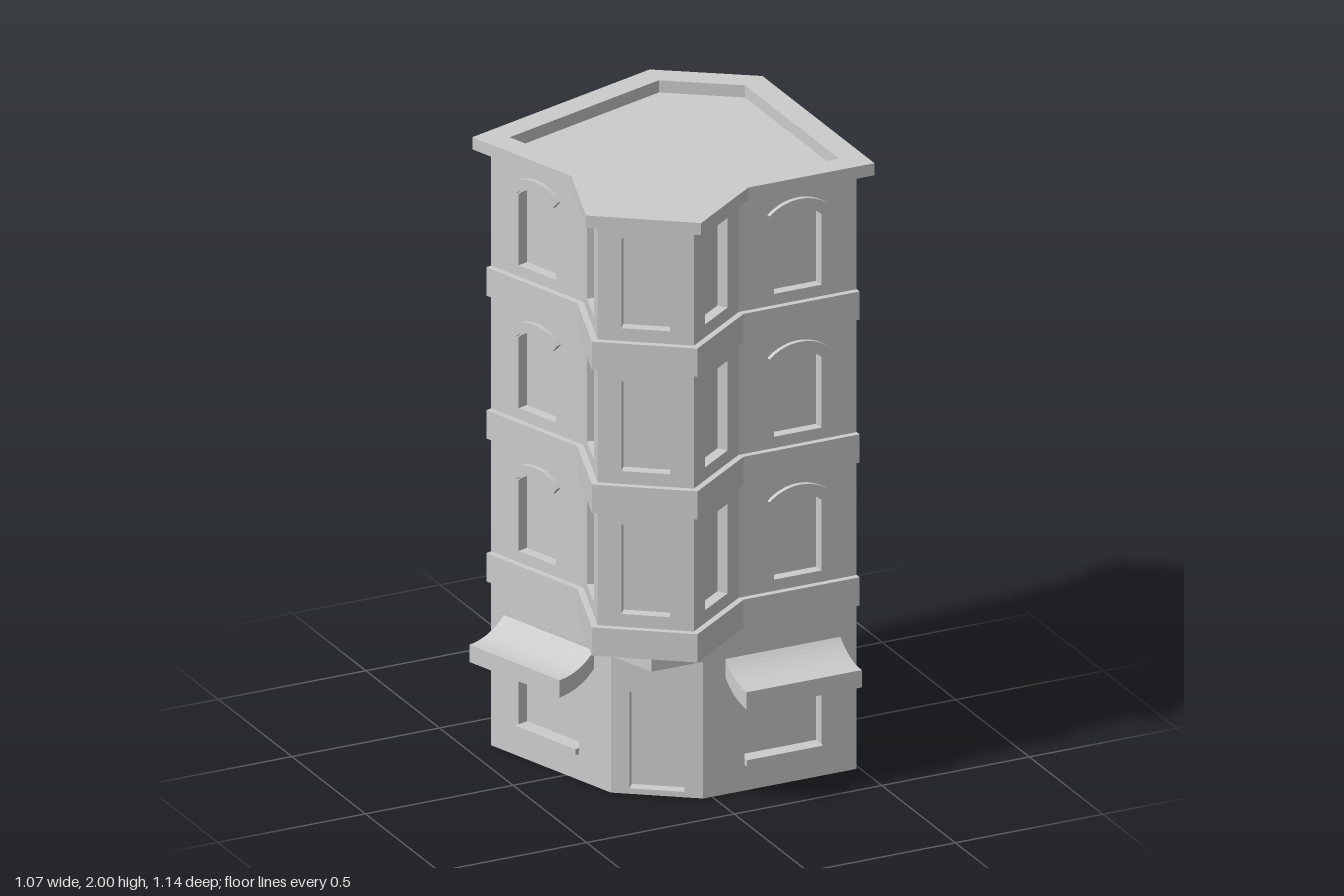
import * as THREE from 'three';

const material = new THREE.MeshStandardMaterial({ color: 0xcccccc, flatShading: true, side: THREE.DoubleSide });
const RECESS = 0.035, ROOF = 1.96;

// Plan corners as [x, z]; walls run left to right as seen from outside
const backLeft = [-0.42, -0.31], bayLeft = [-0.296, 0.07], bayFrontLeft = [-0.388, 0.351];
const bayFrontRight = [-0.149, 0.525], bayRight = [0.09, 0.35], frontRight = [0.49, 0.35];
const backRight = [0.49, -0.35], backEnd = [0.24, -0.525];
const corner = [-0.205, 0.35], doorLeft = [-0.26, 0.183], doorRight = [-0.03, 0.35];
const facade = [backLeft, bayLeft, bayFrontLeft, bayFrontRight, bayRight, frontRight];
const outline = [...facade, backRight, backEnd];

function mesh(geometry, name) {
  const m = new THREE.Mesh(geometry, material);
  m.name = name;
  return m;
}

// Offsets a plan line outwards with mitred corners
function offset(points, d, closed) {
  const n = points.length;
  const normal = (a, b) => {
    const l = Math.hypot(b[0] - a[0], b[1] - a[1]);
    return [-(b[1] - a[1]) / l, (b[0] - a[0]) / l];
  };
  return points.map((p, i) => {
    const prev = closed || i > 0 ? points[(i + n - 1) % n] : null;
    const next = closed || i < n - 1 ? points[(i + 1) % n] : null;
    const n1 = prev ? normal(prev, p) : normal(p, next);
    const n2 = next ? normal(p, next) : n1;
    const k = d / (1 + n1[0] * n2[0] + n1[1] * n2[1]);
    return [p[0] + (n1[0] + n2[0]) * k, p[1] + (n1[1] + n2[1]) * k];
  });
}

// Horizontal shapes drawn from plan points
const planPoints = (points) => points.map(([x, z]) => new THREE.Vector2(x, -z));

function slab(points, y, height, name, hole) {
  const shape = new THREE.Shape(planPoints(points));
  if (hole) shape.holes.push(new THREE.Path(planPoints(hole)));
  const geometry = height
    ? new THREE.ExtrudeGeometry(shape, { depth: height, bevelEnabled: false })
    : new THREE.ShapeGeometry(shape);
  return mesh(geometry.rotateX(-Math.PI / 2).translate(0, y, 0), name);
}

// Opening outlines in wall coordinates; a rise gives an arched head
function opening(u, y0, y1, width, rise = 0) {
  const h = width / 2;
  const points = [new THREE.Vector2(u - h, y0), new THREE.Vector2(u + h, y0)];
  if (!rise) return points.concat(new THREE.Vector2(u + h, y1), new THREE.Vector2(u - h, y1));
  const r = (h * h + rise * rise) / (2 * rise), a = Math.asin(h / r);
  for (let i = 0; i <= 10; i++) {
    const t = a - (2 * a * i) / 10;
    points.push(new THREE.Vector2(u + r * Math.sin(t), y1 - r + r * Math.cos(t)));
  }
  return points;
}

// Sides of a recess running back from the wall face
function reveal(points) {
  const pos = [];
  points.forEach((p, i) => {
    const q = points[(i + 1) % points.length];
    pos.push(p.x, p.y, 0, q.x, q.y, 0, q.x, q.y, -RECESS, p.x, p.y, 0, q.x, q.y, -RECESS, p.x, p.y, -RECESS);
  });
  const g = new THREE.BufferGeometry();
  g.setAttribute('position', new THREE.Float32BufferAttribute(pos, 3));
  g.computeVertexNormals();
  return g;
}

// Wall panel from a to b with recessed openings; local +z faces outwards
function wall(name, a, b, y0, y1, openings = [], paneName = 'windowPane') {
  const group = new THREE.Group();
  group.name = name;
  const dx = b[0] - a[0], dz = b[1] - a[1], len = Math.hypot(dx, dz);
  const shape = new THREE.Shape(opening(len / 2, y0, y1, len));
  for (const points of openings) {
    shape.holes.push(new THREE.Path(points));
    const pane = mesh(new THREE.ShapeGeometry(new THREE.Shape(points)), paneName);
    pane.position.z = -RECESS;
    group.add(pane, mesh(reveal(points), 'reveal'));
  }
  group.add(mesh(new THREE.ShapeGeometry(shape), 'wallFace'));
  group.position.set(a[0], 0, a[1]);
  group.rotation.y = Math.atan2(-dz, dx);
  return group;
}

// Curved moulding above an arched window
function brow(u, top) {
  const cy = top - 0.116, a = 0.73;
  const shape = new THREE.Shape();
  shape.absarc(u, cy, 0.154, Math.PI / 2 - a, Math.PI / 2 + a, false);
  shape.absarc(u, cy, 0.121, Math.PI / 2 + a, Math.PI / 2 - a, true);
  return mesh(new THREE.ExtrudeGeometry(shape, { depth: 0.015, bevelEnabled: false, curveSegments: 10 }), 'windowBrow');
}

// Awning with a sweeping side profile, drawn as (outwards, up)
function awning(u) {
  const shape = new THREE.Shape();
  shape.moveTo(0, 0.445);
  shape.quadraticCurveTo(0.055, 0.39, 0.145, 0.39);
  shape.lineTo(0.145, 0.333);
  shape.quadraticCurveTo(0.055, 0.335, 0, 0.385);
  const width = 0.39;
  const g = new THREE.ExtrudeGeometry(shape, { depth: width, bevelEnabled: false, curveSegments: 8 });
  g.rotateY(-Math.PI / 2).translate(u + width / 2, 0, 0);
  return mesh(g, 'awning');
}

export function createModel() {
  const model = new THREE.Group();
  model.name = 'cornerBuilding';
  const floors = [0, 0.47, 0.94];

  // Plain walls, leaving the back corner open
  model.add(wall('rightWall', frontRight, backRight, 0, ROOF));
  model.add(wall('backWall', backEnd, backLeft, 0, ROOF));

  // Shop fronts on both street sides
  for (const [name, a, b, u] of [['frontShop', doorRight, frontRight, 0.27], ['leftShop', backLeft, doorLeft, 0.25]]) {
    const shop = wall(name, a, b, 0, 0.45, [opening(u, 0.105, 0.33, 0.26)]);
    const sill = mesh(new THREE.BoxGeometry(0.26, 0.02, 0.015), 'windowSill');
    sill.position.set(u, 0.095, 0.0075);
    shop.add(sill, awning(u));
    model.add(shop);
  }

  // Entrance cut across the corner, with the corner carried over it
  const doorLength = Math.hypot(doorRight[0] - doorLeft[0], doorRight[1] - doorLeft[1]);
  model.add(wall('entrance', doorLeft, doorRight, 0, 0.45, [opening(doorLength / 2, 0.018, 0.335, 0.168)], 'door'));
  model.add(slab([doorLeft, corner, doorRight], 0.45, 0, 'entranceSoffit'));
  model.add(wall('leftLintel', backLeft, corner, 0.45, 0.55));
  model.add(wall('frontLintel', corner, frontRight, 0.45, 0.55));

  // Upper storeys with arched windows
  for (const [name, a, b] of [['frontUpperWall', bayRight, frontRight], ['leftUpperWall', backLeft, bayLeft]]) {
    const u = Math.hypot(b[0] - a[0], b[1] - a[1]) / 2;
    const upper = wall(name, a, b, 0.55, ROOF, floors.map((f) => opening(u, f + 0.675, f + 0.94, 0.16, 0.032)));
    floors.forEach((f) => upper.add(brow(u, f + 0.94)));
    model.add(upper);
  }

  // Projecting corner bay with tall windows
  for (let i = 1; i < 4; i++) {
    const windows = floors.map((f) => opening(0.148, f + 0.68, f + 0.975, 0.15));
    model.add(wall('bayWall', facade[i], facade[i + 1], 0.55, ROOF, windows));
  }
  model.add(slab([corner, bayLeft, bayFrontLeft, bayFrontRight, bayRight], 0.547, 0, 'baySoffit'));

  // String courses along the street sides
  const bandOuter = offset(facade, 0.02, false);
  for (const f of floors) {
    model.add(slab([...bandOuter, ...facade.slice().reverse()], 0.545 + f, 0.093, 'stringCourse'));
  }

  // Roof deck and parapet
  const inner = offset(outline, -0.04, true);
  model.add(slab(offset(outline, 0.04, true), ROOF, 0.04, 'cornice', inner));
  model.add(slab(inner, ROOF, 0, 'roofDeck'));
  return model;
}
